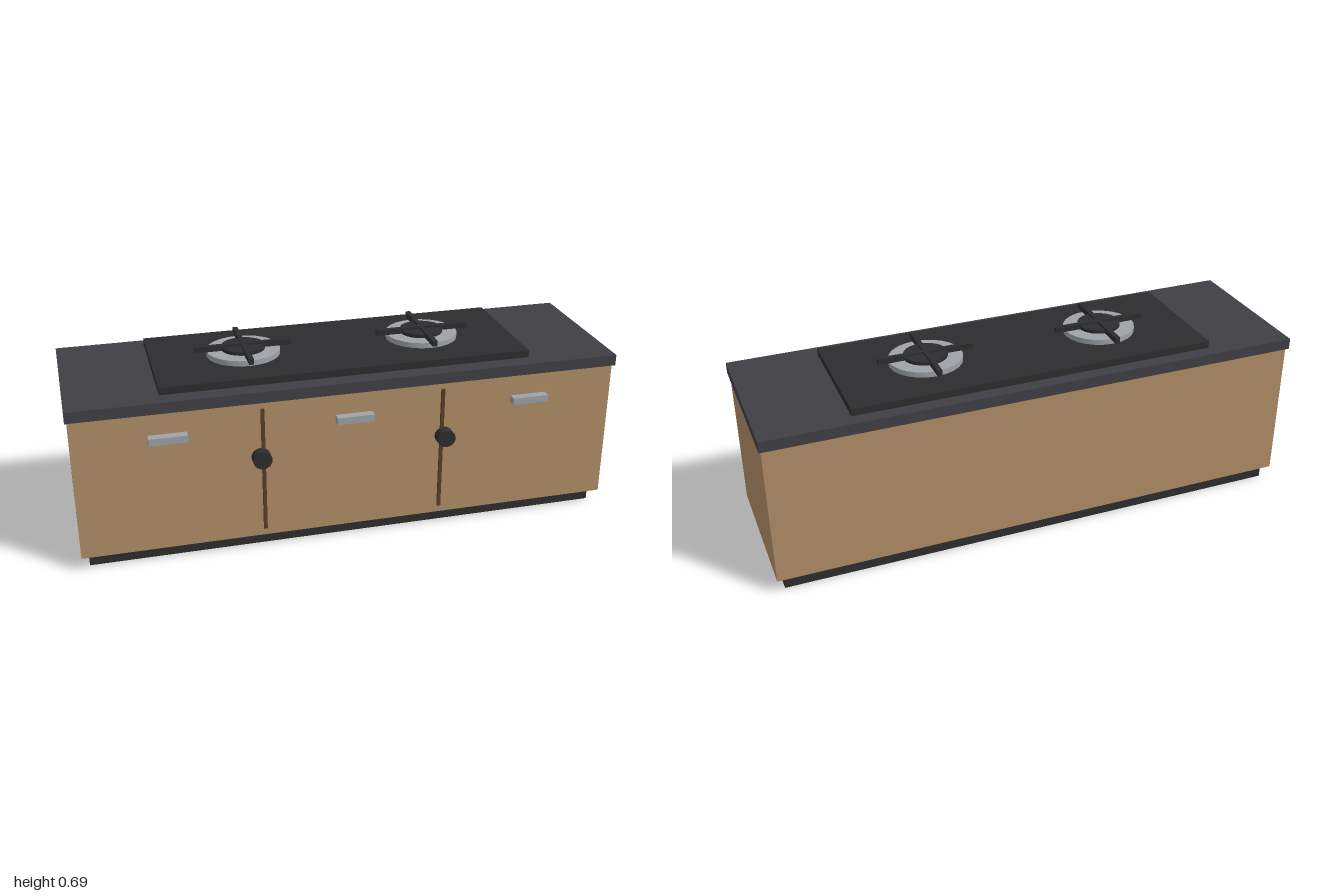
import * as THREE from 'three';

const mat = (color) => new THREE.MeshStandardMaterial({ color });

export function createModel() {
  const group = new THREE.Group();
  const wood = mat(0xb08d66), black = mat(0x2d2d2f), slate = mat(0x403f44);
  const metal = mat(0x9ea3a8), seamBrown = mat(0x5a3f2b);
  const stretch = 1.07; // round parts are slightly wider along x

  // Box given by its x centre and width, and its y and z ranges
  const box = (name, material, x, w, y0, y1, z0, z1, parent = group) => {
    const mesh = new THREE.Mesh(new THREE.BoxGeometry(w, y1 - y0, z1 - z0), material);
    mesh.name = name;
    mesh.position.set(x, (y0 + y1) / 2, (z0 + z1) / 2);
    parent.add(mesh);
  };
  const disc = (name, material, r, y0, y1, parent) => {
    const mesh = new THREE.Mesh(new THREE.CylinderGeometry(r, r, y1 - y0, 24), material);
    mesh.name = name;
    mesh.position.y = (y0 + y1) / 2;
    mesh.scale.x = stretch;
    parent.add(mesh);
  };

  // Cabinet
  box('plinth', black, 0, 1.93, 0, 0.054, -0.27, 0.233);
  box('cabinetBody', wood, 0, 1.985, 0.054, 0.586, -0.295, 0.27);
  box('countertop', slate, 0, 2, 0.586, 0.627, -0.307, 0.283);
  box('hobPlate', black, 0, 1.355, 0.627, 0.654, -0.257, 0.22);

  // Drawer handles
  for (const x of [-0.663, 0, 0.663]) box('handle', metal, x, 0.136, 0.478, 0.504, 0.27, 0.302);

  for (const side of [-1, 1]) {
    // Door seam and control knob
    box('doorSeam', seamBrown, side * 0.331, 0.013, 0.082, 0.56, 0.265, 0.278);
    const knob = new THREE.Mesh(new THREE.CylinderGeometry(0.0325, 0.0325, 0.039, 20), black);
    knob.name = 'knob';
    knob.rotation.x = Math.PI / 2;
    knob.scale.x = 1.05;
    knob.position.set(side * 0.34, 0.3755, 0.2895);
    group.add(knob);

    // Burner with cap and crossed pan support
    const burner = new THREE.Group();
    burner.name = 'burner';
    burner.position.set(side * 0.34, 0, -0.018);
    disc('burnerBase', metal, 0.126, 0.654, 0.674, burner);
    disc('burnerCap', black, 0.075, 0.674, 0.687, burner);
    box('grateBarAcross', black, 0, 0.353, 0.674, 0.695, -0.0085, 0.0085, burner);
    box('grateBarDeep', black, 0, 0.018, 0.674, 0.695, -0.1635, 0.1635, burner);
    group.add(burner);
  }
  return group;
}
